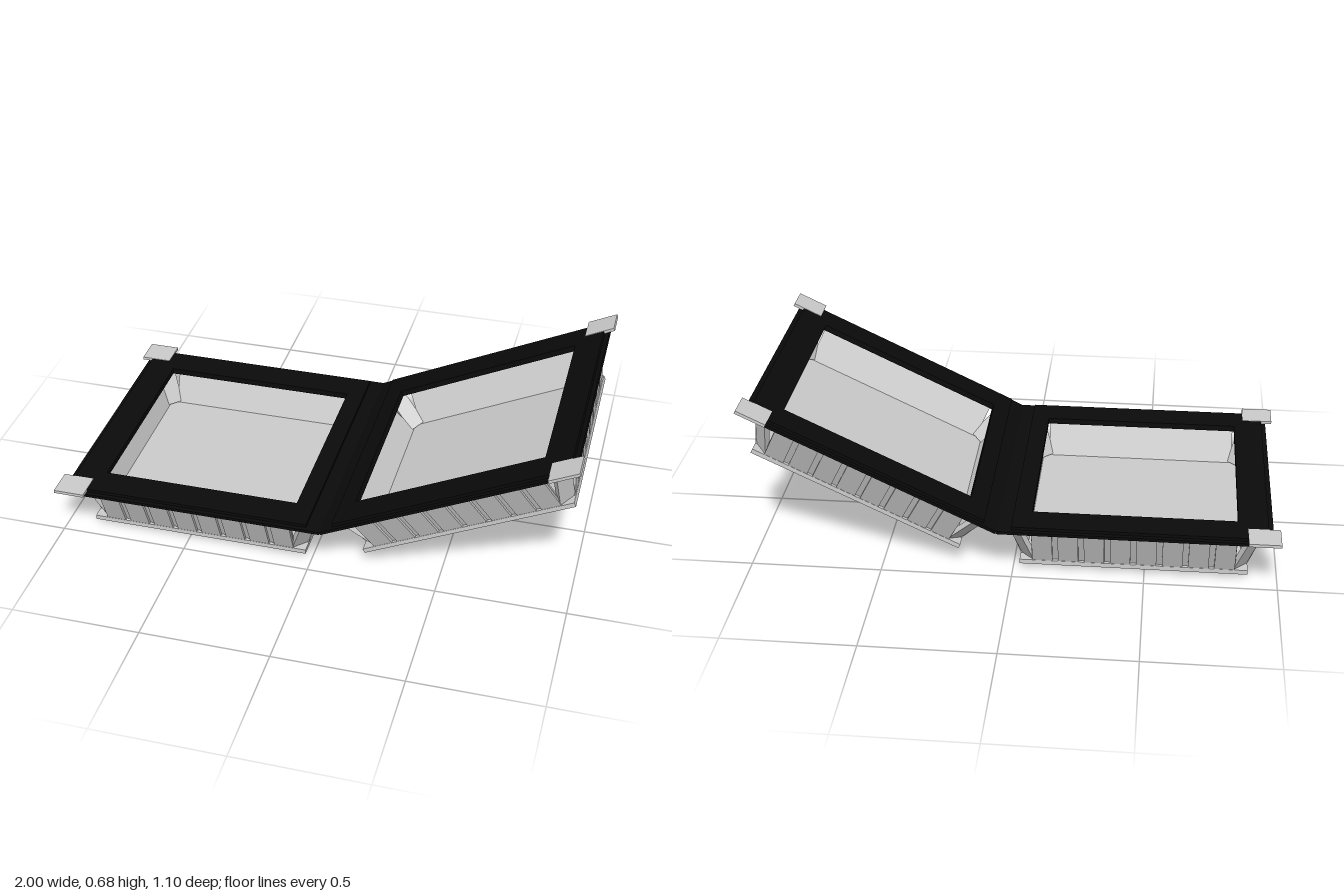
import * as THREE from 'three';

const grey = new THREE.MeshStandardMaterial({ color: 0xcccccc, flatShading: true });
const black = new THREE.MeshStandardMaterial({ color: 0x0a0a0a, flatShading: true });

const HINGE_X = 0.055, HINGE_Y = 0.21; // fold line between the two halves
const OFFSET = 0.512;                  // tray centre to fold line
const WALL_LOW = 0.035, WALL_HIGH = 0.202;

function add(parent, name, geometry, material, x = 0, y = 0, z = 0) {
  const mesh = new THREE.Mesh(geometry, material);
  mesh.name = name;
  mesh.position.set(x, y, z);
  parent.add(mesh);
  return mesh;
}

// Slab leaning outwards towards +z; low and high are its outer-face distances
function leaningSlab(parent, name, width, thickness, x, low, high) {
  const rise = WALL_HIGH - WALL_LOW, run = high - low;
  const geometry = new THREE.BoxGeometry(width, Math.hypot(rise, run), thickness);
  geometry.translate(0, 0, -thickness / 2);
  const slab = add(parent, name, geometry, grey, x, (WALL_LOW + WALL_HIGH) / 2, (low + high) / 2);
  slab.rotation.x = Math.atan2(run, rise);
}

// Flat rectangular frame with a square opening, lying between y0 and y1
function frame(parent, name, x0, x1, halfZ, y0, y1) {
  const opening = 0.387;
  const shape = new THREE.Shape([[x0, -halfZ], [x1, -halfZ], [x1, halfZ], [x0, halfZ]]
    .map(([x, y]) => new THREE.Vector2(x, y)));
  shape.holes.push(new THREE.Path([[-1, -1], [-1, 1], [1, 1], [1, -1]]
    .map(([x, y]) => new THREE.Vector2(x * opening, y * opening))));
  const geometry = new THREE.ExtrudeGeometry(shape, { depth: y1 - y0, bevelEnabled: false });
  geometry.rotateX(-Math.PI / 2);
  add(parent, name, geometry, black, 0, y0, 0);
}

// One tray centred on its own origin; out is the x direction away from the hinge
function createTray(name, out) {
  const tray = new THREE.Group();
  tray.name = name;

  // Raised foot panel and floor
  add(tray, 'footPanel', new THREE.BoxGeometry(0.752, 0.02, 0.752), grey, 0, 0.01, 0);
  add(tray, 'floor', new THREE.BoxGeometry(0.864, 0.018, 0.864), grey, 0, 0.028, 0);

  // Four ribbed walls with a separate diagonal slab at each corner
  for (let k = 0; k < 4; k++) {
    const side = new THREE.Group();
    side.name = 'wall';
    side.rotation.y = k * Math.PI / 2;
    leaningSlab(side, 'wallPanel', 0.77, 0.01, 0, 0.418, 0.486);
    for (let i = 0; i < 8; i++) {
      leaningSlab(side, 'rib', 0.077, 0.02, (i - 3.5) * 0.0985, 0.43, 0.498);
    }
    tray.add(side);

    const corner = new THREE.Group();
    corner.name = 'corner';
    corner.rotation.y = (k + 0.5) * Math.PI / 2;
    leaningSlab(corner, 'cornerRib', 0.07, 0.02, 0, 0.57, 0.65);
    tray.add(corner);
  }

  // Stepped rim: the lower sheet reaches the fold line
  const span = (far, near) => (out > 0 ? [-near, far] : [-far, near]);
  frame(tray, 'lowerRim', ...span(0.518, OFFSET), 0.525, 0.2, 0.212);
  frame(tray, 'upperRim', ...span(0.5, 0.457), 0.508, 0.211, 0.224);

  // Grip tabs on the two outer corners
  for (const s of [-1, 1]) {
    add(tray, 'cornerTab', new THREE.BoxGeometry(0.12, 0.012, 0.11), grey, out * 0.483, 0.22, s * 0.495);
  }
  return tray;
}

export function createModel() {
  const model = new THREE.Group();
  model.name = 'hingedContainer';

  const base = createTray('baseTray', -1);
  base.position.x = HINGE_X - OFFSET;
  model.add(base);

  // Second half tilted up about the fold line
  const lid = new THREE.Group();
  lid.name = 'lid';
  lid.position.set(HINGE_X, HINGE_Y, 0);
  lid.rotation.z = THREE.MathUtils.degToRad(25.7);
  const lidTray = createTray('lidTray', 1);
  lidTray.position.set(OFFSET, -HINGE_Y, 0);
  lid.add(lidTray);
  model.add(lid);
  return model;
}
